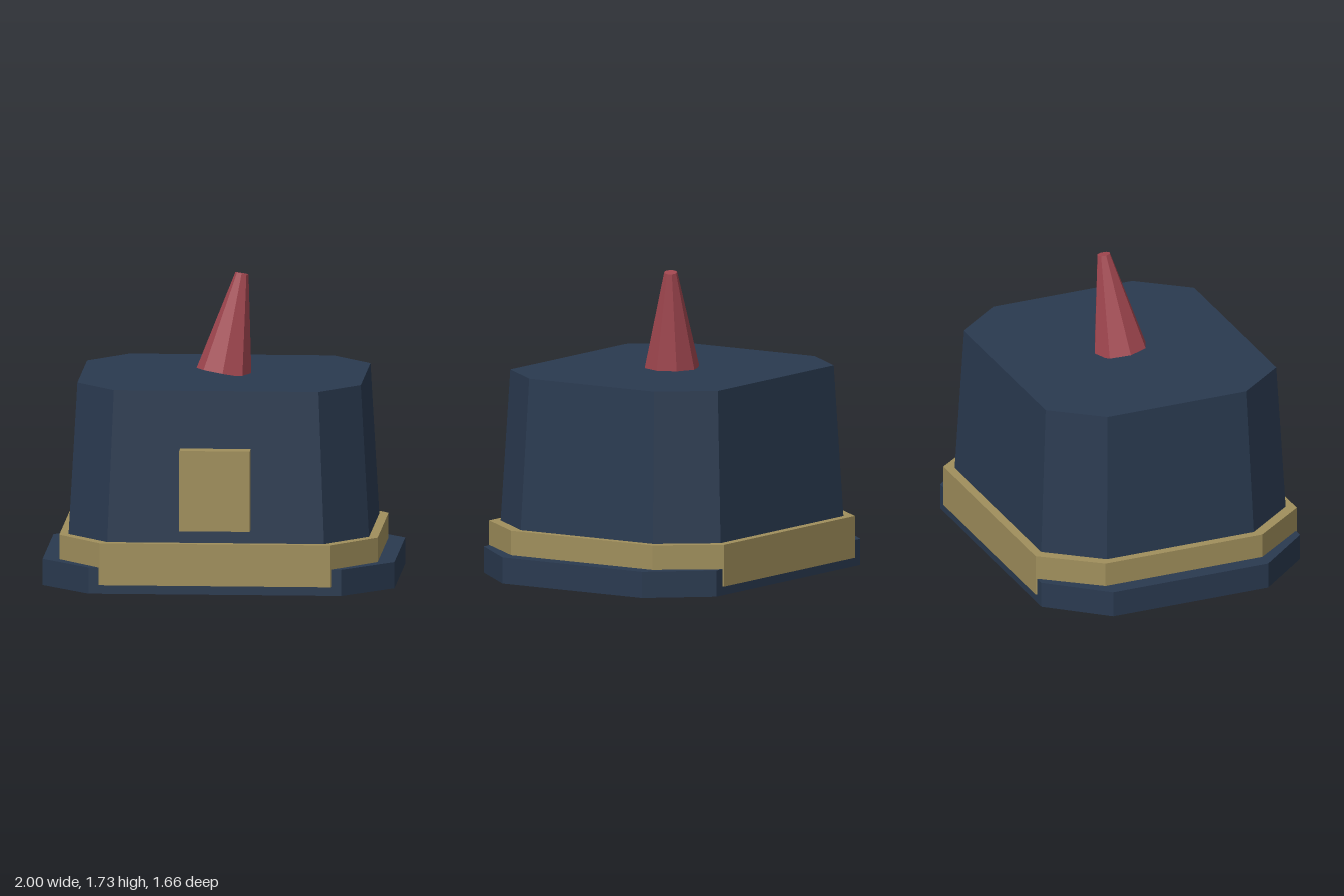
import * as THREE from 'three';

const navy = new THREE.MeshStandardMaterial({ color: 0x2a3a50, flatShading: true });
const gold = new THREE.MeshStandardMaterial({ color: 0xa08f5c, flatShading: true });
const red = new THREE.MeshStandardMaterial({ color: 0xa0464f, flatShading: true });
const CENTRE_Z = -0.022;

// Rectangular block with cut corners from y0 to y1; its top is scaled by taper.
// hx, hz are half sizes; cx, cz are where the corner cuts begin.
function cutCornerBlock(name, material, hx, hz, cx, cz, y0, y1, taper = 1) {
  const outline = [
    [hx, -cz], [hx, cz], [cx, hz], [-cx, hz],
    [-hx, cz], [-hx, -cz], [-cx, -hz], [cx, -hz],
  ].map(([x, y]) => new THREE.Vector2(x, y));
  const geometry = new THREE.ExtrudeGeometry(new THREE.Shape(outline), { depth: y1 - y0, bevelEnabled: false });
  geometry.rotateX(-Math.PI / 2);
  const p = geometry.attributes.position;
  for (let i = 0; i < p.count; i++) {
    const s = p.getY(i) > (y1 - y0) / 2 ? taper : 1;
    p.setX(i, p.getX(i) * s);
    p.setZ(i, p.getZ(i) * s);
  }
  geometry.computeVertexNormals();
  const mesh = new THREE.Mesh(geometry, material);
  mesh.name = name;
  mesh.position.set(0, y0, CENTRE_Z);
  return mesh;
}

export function createModel() {
  const model = new THREE.Group();
  model.name = 'hat';

  // Brim, band and tapering crown
  model.add(
    cutCornerBlock('brim', navy, 1, 0.8, 0.72, 0.48, 0, 0.15),
    cutCornerBlock('band', gold, 0.905, 0.808, 0.655, 0.485, 0.05, 0.29),
    cutCornerBlock('crown', navy, 0.862, 0.763, 0.621, 0.459, 0.15, 1.155, 0.935),
  );

  // Plate on the front of the crown
  const plate = new THREE.Mesh(new THREE.BoxGeometry(0.4, 0.46, 0.1), gold);
  plate.name = 'frontPlate';
  plate.position.set(0, 0.6, 0.78);
  model.add(plate);

  // Leaning plume
  const foot = new THREE.Vector3(0, 1.155, -0.021);
  const tip = new THREE.Vector3(0.098, 1.718, -0.08);
  const lean = tip.clone().sub(foot);
  const plume = new THREE.Mesh(new THREE.CylinderGeometry(0.038, 0.158, lean.length(), 8), red);
  plume.name = 'plume';
  plume.position.copy(foot).add(tip).multiplyScalar(0.5);
  plume.quaternion.setFromUnitVectors(new THREE.Vector3(0, 1, 0), lean.normalize());
  model.add(plume);

  return model;
}
